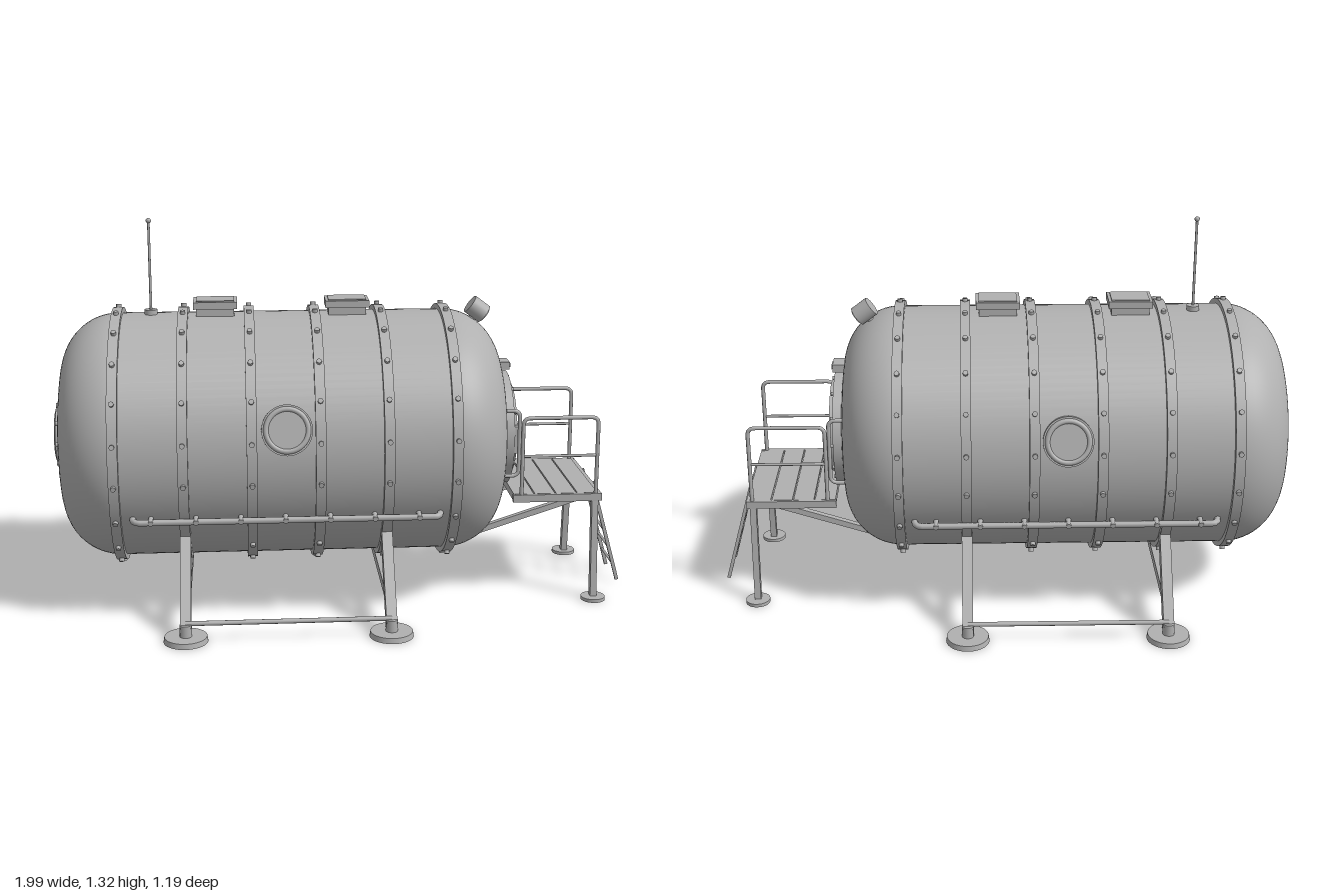
import * as THREE from 'three';

const V = (x, y, z) => new THREE.Vector3(x, y, z);
const UP = V(0, 1, 0);
const AXIS_Y = 0.567, R = 0.422;
const metal = new THREE.MeshStandardMaterial({ color: 0xb0b0b0 });
metal.name = 'grey metal';

export function createModel() {
  const model = new THREE.Group();
  model.name = 'pressureHabitat';

  const add = (name, geo, pos = V(0, 0, 0), parent = model) => {
    const m = new THREE.Mesh(geo, metal);
    m.name = name;
    m.position.copy(pos);
    parent.add(m);
    return m;
  };
  const box = (name, w, h, d, pos, parent) => add(name, new THREE.BoxGeometry(w, h, d), pos, parent);
  // cylinder centred at pos with its axis along dir
  const disc = (name, r, len, pos, dir = UP, seg = 32, parent = model, r2 = r) => {
    const m = add(name, new THREE.CylinderGeometry(r2, r, len, seg), pos, parent);
    m.quaternion.setFromUnitVectors(UP, dir.clone().normalize());
    return m;
  };
  const rod = (name, a, b, r) =>
    disc(name, r, a.distanceTo(b), a.clone().lerp(b, 0.5), b.clone().sub(a), 10);
  // square beam between two points lying in the xy or yz plane
  const beam = (name, a, b, w, d) => {
    const m = box(name, w, a.distanceTo(b), d, a.clone().lerp(b, 0.5));
    m.quaternion.setFromUnitVectors(UP, b.clone().sub(a).normalize());
    return m;
  };
  const tube = (name, pts, r) => {
    const path = new THREE.CurvePath();
    const n = pts.length, bend = 0.025;
    let prev = pts[0];
    for (let i = 1; i < n - 1; i++) {
      const p = pts[i];
      const a = p.clone().add(pts[i - 1].clone().sub(p).setLength(bend));
      const b = p.clone().add(pts[i + 1].clone().sub(p).setLength(bend));
      path.add(new THREE.LineCurve3(prev, a));
      path.add(new THREE.QuadraticBezierCurve3(a, p, b));
      prev = b;
    }
    path.add(new THREE.LineCurve3(prev, pts[n - 1]));
    return add(name, new THREE.TubeGeometry(path, 80, r, 8));
  };
  const X = V(1, 0, 0);

  // Hull with dished ends
  const k = 0.195, crown = 0.017, end = [];
  for (let i = 0; i <= 16; i++) {
    const a = (i / 16) * 1.45;
    end.push([R - k + k * Math.cos(a), k * Math.sin(a)]);
  }
  const [re, he] = end[16];
  for (let i = 1; i <= 8; i++) {
    const t = 1 - i / 8;
    end.push([re * t, he + (k + crown - he) * (1 - t * t)]);
  }
  const profile = [
    ...end.slice().reverse().map(([r, h]) => new THREE.Vector2(r, -0.775 - h)),
    ...end.map(([r, h]) => new THREE.Vector2(r, 0.35 + h)),
  ];
  add('hull', new THREE.LatheGeometry(profile, 96), V(0, AXIS_Y, 0)).rotation.z = -Math.PI / 2;

  // Bolted bands
  for (let i = 0; i < 6; i++) {
    const x = -0.775 + i * 0.225;
    disc('band', 0.44, 0.034, V(x, AXIS_Y, 0), X, 96);
    for (let j = 0; j < 20; j++) {
      const a = ((j + 0.5) / 20) * Math.PI * 2;
      const d = V(0, Math.sin(a), Math.cos(a));
      disc('bandBolt', 0.009, 0.014, V(x, AXIS_Y, 0).addScaledVector(d, 0.444), d, 8);
    }
  }

  // Bolt circle on an end face
  const boltCircle = (name, x, r, n, size, phase = 0) => {
    for (let i = 0; i < n; i++) {
      const a = ((i + phase) / n) * Math.PI * 2;
      disc(name, size, 0.012, V(x, AXIS_Y + r * Math.cos(a), r * Math.sin(a)), X, 8);
    }
  };
  // Round window frame with a pane, facing dir
  const porthole = (name, pos, dir, r, t) => {
    const g = new THREE.Group();
    g.name = name;
    g.position.copy(pos);
    g.quaternion.setFromUnitVectors(V(0, 0, 1), dir);
    model.add(g);
    add('frame', new THREE.TorusGeometry(r - t, t, 12, 48), undefined, g);
    disc('pane', r - t, 0.02, V(0, 0, -0.006), V(0, 0, 1), 40, g);
  };

  // Entry hatch on the +x end
  disc('hatchFlange', 0.2, 0.06, V(0.55, AXIS_Y, 0), X, 64);
  disc('hatchDoor', 0.16, 0.03, V(0.58, AXIS_Y, 0), X, 64);
  porthole('hatchWindow', V(0.595, AXIS_Y, 0), X, 0.06, 0.008);
  boltCircle('hatchBolt', 0.583, 0.18, 12, 0.007);
  box('hatchHandle', 0.012, 0.01, 0.06, V(0.607, AXIS_Y, -0.11));
  box('handleMount', 0.02, 0.012, 0.012, V(0.598, AXIS_Y, -0.09));
  box('hatchHinge', 0.035, 0.095, 0.028, V(0.588, AXIS_Y, 0.18));
  box('controlBox', 0.05, 0.027, 0.068, V(0.56, 0.794, 0));
  box('controlPanel', 0.006, 0.012, 0.045, V(0.587, 0.794, 0));

  // Rear port on the -x end
  disc('rearFlange', 0.112, 0.02, V(-0.983, AXIS_Y, 0), X, 48);
  porthole('rearPort', V(-0.989, AXIS_Y, 0), V(-1, 0, 0), 0.1, 0.011);
  boltCircle('rearBolt', -0.983, 0.14, 12, 0.008);

  // Roof boxes
  for (const x of [-0.44, 0.013]) {
    box('roofBoxBase', 0.13, 0.06, 0.095, V(x, 0.99, 0));
    box('roofBoxLid', 0.15, 0.024, 0.112, V(x, 1.024, 0));
    box('roofBoxPanel', 0.13, 0.006, 0.092, V(x, 1.037, 0));
  }

  // Antenna
  disc('antennaBase', 0.022, 0.025, V(-0.66, 0.993, 0), UP, 20);
  rod('antennaMast', V(-0.66, 0.98, 0), V(-0.66, 1.31, 0), 0.0045);
  add('antennaTip', new THREE.SphereGeometry(0.009, 12, 8), V(-0.66, 1.31, 0));

  // Flood lamp aimed at the platform
  const aim = V(0.8, -0.6, 0);
  rod('lampBracket', V(0.43, 0.93, 0), V(0.47, 0.99, 0), 0.012);
  disc('lampBody', 0.034, 0.062, V(0.47, 0.992, 0), aim, 24);
  disc('lampLens', 0.027, 0.006, V(0.47, 0.992, 0).addScaledVector(aim, 0.032), aim, 24);

  for (const s of [1, -1]) {
    // Side window
    const n = V(0, Math.sin(0.26), s * Math.cos(0.26));
    const at = d => V(-0.21, AXIS_Y, 0).addScaledVector(n, d);
    disc('windowCollar', 0.084, 0.03, at(0.419), n, 48);
    porthole('sideWindow', at(0.434), n, 0.078, 0.009);

    // Side grab rail with standoffs
    const ry = 0.368, rz = s * 0.402;
    tube('sideRail', [V(-0.72, ry + 0.01, s * 0.35), V(-0.72, ry, rz), V(0.3, ry, rz), V(0.3, ry + 0.01, s * 0.35)], 0.011);
    for (let i = 0; i < 7; i++) {
      const x = -0.66 + i * 0.148;
      rod('railStandoff', V(x, ry + 0.012, s * 0.34), V(x, ry, s * 0.416), 0.009);
    }

    // Legs and feet
    for (const x of [-0.55, 0.125]) {
      beam('leg', V(x, 0.35, s * 0.288), V(x, 0.035, s * 0.52), 0.036, 0.042);
      disc('ankle', 0.02, 0.045, V(x, 0.035, s * 0.525), UP, 16);
      disc('footPad', 0.073, 0.018, V(x, 0.009, s * 0.523), UP, 40, model, 0.07);
    }
    rod('legTie', V(-0.55, 0.06, s * 0.522), V(0.125, 0.06, s * 0.522), 0.008);

    // Hatch grab bar
    tube('hatchGrabBar', [V(0.52, 0.68, s * 0.225), V(0.59, 0.68, s * 0.225), V(0.59, 0.45, s * 0.225), V(0.52, 0.45, s * 0.225)], 0.007);

    // Platform railing
    const z = s * 0.214;
    tube('railing', [V(0.605, 0.37, z), V(0.605, 0.65, z), V(0.865, 0.65, z), V(0.865, 0.37, z)], 0.007);
    rod('midRail', V(0.605, 0.515, z), V(0.865, 0.515, z), 0.005);

    // Platform legs and braces
    beam('platformLeg', V(0.862, 0.37, s * 0.21), V(0.862, 0.012, s * 0.24), 0.022, 0.026);
    disc('platformFoot', 0.042, 0.012, V(0.862, 0.006, s * 0.245), UP, 28);
    beam('platformBrace', V(0.46, 0.238, s * 0.17), V(0.83, 0.358, s * 0.17), 0.02, 0.022);
    box('platformSideBeam', 0.31, 0.026, 0.016, V(0.73, 0.366, s * 0.217));

    // Ladder rail
    beam('ladderRail', V(0.885, 0.378, s * 0.08), V(0.988, 0.008, s * 0.08), 0.012, 0.01);
  }

  // Cross beams under the hull
  for (const x of [-0.55, 0.125]) box('crossBeam', 0.03, 0.032, 0.93, V(x, 0.113, 0));

  // Platform deck planks
  for (let i = 0; i < 4; i++) box('deckPlank', 0.07, 0.014, 0.43, V(0.613 + i * 0.0745, 0.373, 0));
  for (const x of [0.585, 0.878]) box('deckEndBeam', 0.014, 0.024, 0.44, V(x, 0.366, 0));

  // Ladder rungs
  for (let i = 0; i < 5; i++) {
    const y = 0.325 - i * 0.064, x = 0.885 + (0.378 - y) * (0.103 / 0.37);
    rod('ladderRung', V(x, y, -0.08), V(x, y, 0.08), 0.005);
  }

  return model;
}
